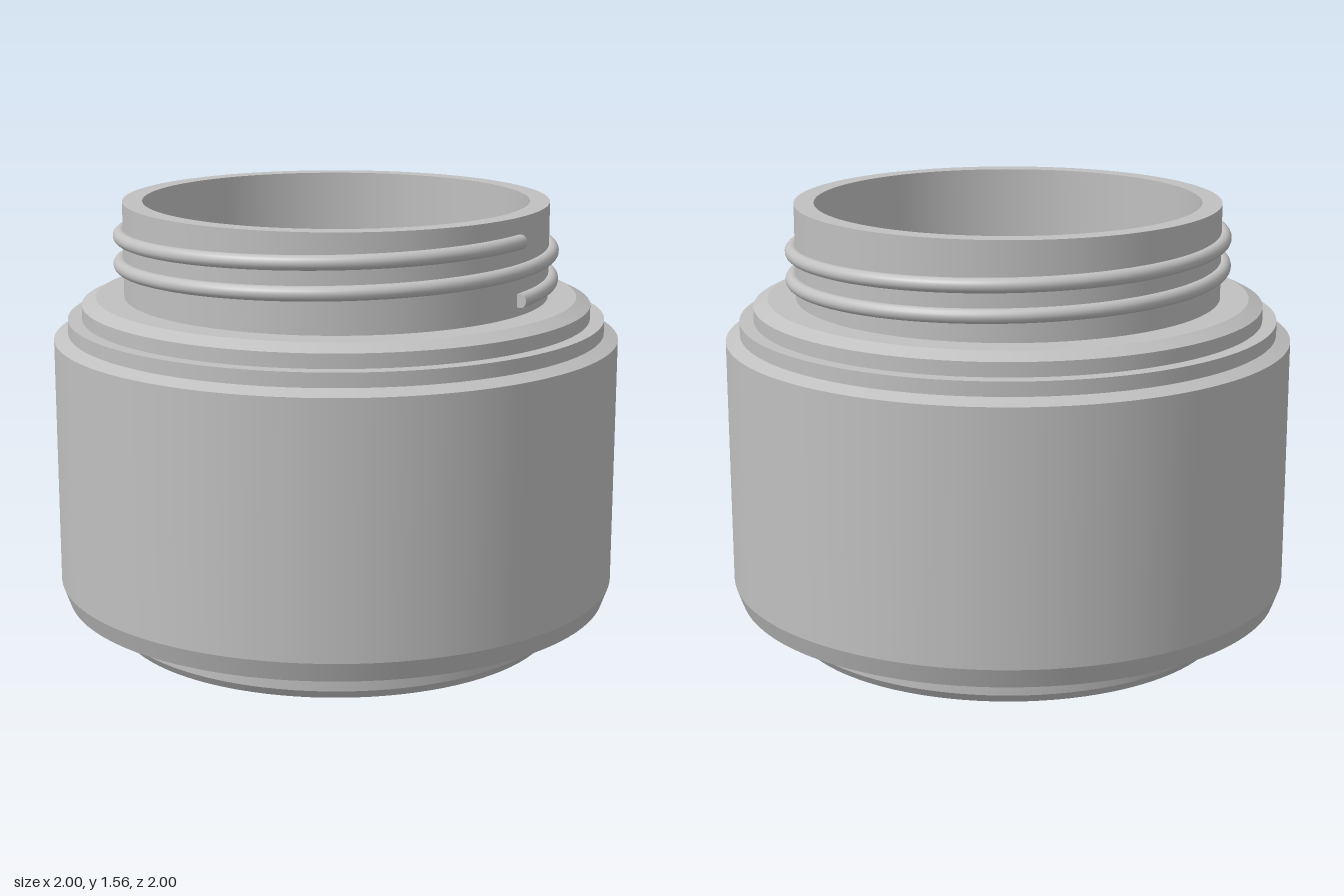
import * as THREE from 'three';
import { mergeGeometries } from 'three/addons/utils/BufferGeometryUtils.js';

const SEGMENTS = 96;

// Lathe with a hard edge at every profile point, smooth around the axis
function creasedLathe(profile) {
  const bands = [];
  for (let i = 0; i < profile.length - 1; i++) {
    const pair = [profile[i], profile[i + 1]].map(([r, y]) => new THREE.Vector2(r, y));
    bands.push(new THREE.LatheGeometry(pair, SEGMENTS));
  }
  return mergeGeometries(bands);
}

// Rising helix around the neck
class Helix extends THREE.Curve {
  constructor(radius, startY, pitch, turns) {
    super();
    Object.assign(this, { radius, startY, pitch, turns });
  }
  getPoint(t, target = new THREE.Vector3()) {
    const a = t * this.turns * Math.PI * 2;
    return target.set(
      this.radius * Math.cos(a),
      this.startY + this.pitch * this.turns * t,
      -this.radius * Math.sin(a)
    );
  }
}

export function createModel() {
  const group = new THREE.Group();
  group.name = 'jar';
  const grey = new THREE.MeshStandardMaterial({ color: 0xc0c0c0 });
  grey.name = 'light grey';

  const add = (name, geometry) => {
    const mesh = new THREE.Mesh(geometry, grey);
    mesh.name = name;
    group.add(mesh);
    return mesh;
  };

  // Foot, body and stepped shoulder
  add('body', creasedLathe([
    [0, 0], [0.79, 0], [0.81, 0.03], [0.81, 0.105],
    [0.9, 0.105], [0.975, 0.13], [1, 0.2], [1, 1.08],
    [0.95, 1.1], [0.95, 1.15], [0.9, 1.15], [0.9, 1.2],
    [0.85, 1.225], [0.75, 1.225],
  ]));

  // Neck wall and flat rim
  add('neck', creasedLathe([[0.75, 1.225], [0.75, 1.56], [0.68, 1.56]]));

  // Hollow inside, wider below the neck
  add('cavity', creasedLathe([
    [0.68, 1.56], [0.68, 1.23], [0.93, 1.08], [0.93, 0.2], [0.88, 0.15], [0, 0.15],
  ]));

  // Two-turn screw thread with flat ends
  const helix = new Helix(0.76, 1.28, 0.1, 2);
  const threadRadius = 0.025;
  add('thread', new THREE.TubeGeometry(helix, 256, threadRadius, 16));
  for (const [t, sign] of [[0, -1], [1, 1]]) {
    const cap = add('threadEnd', new THREE.CircleGeometry(threadRadius, 16));
    cap.position.copy(helix.getPoint(t));
    const outward = helix.getTangent(t).multiplyScalar(sign);
    cap.quaternion.setFromUnitVectors(new THREE.Vector3(0, 0, 1), outward);
  }

  return group;
}
